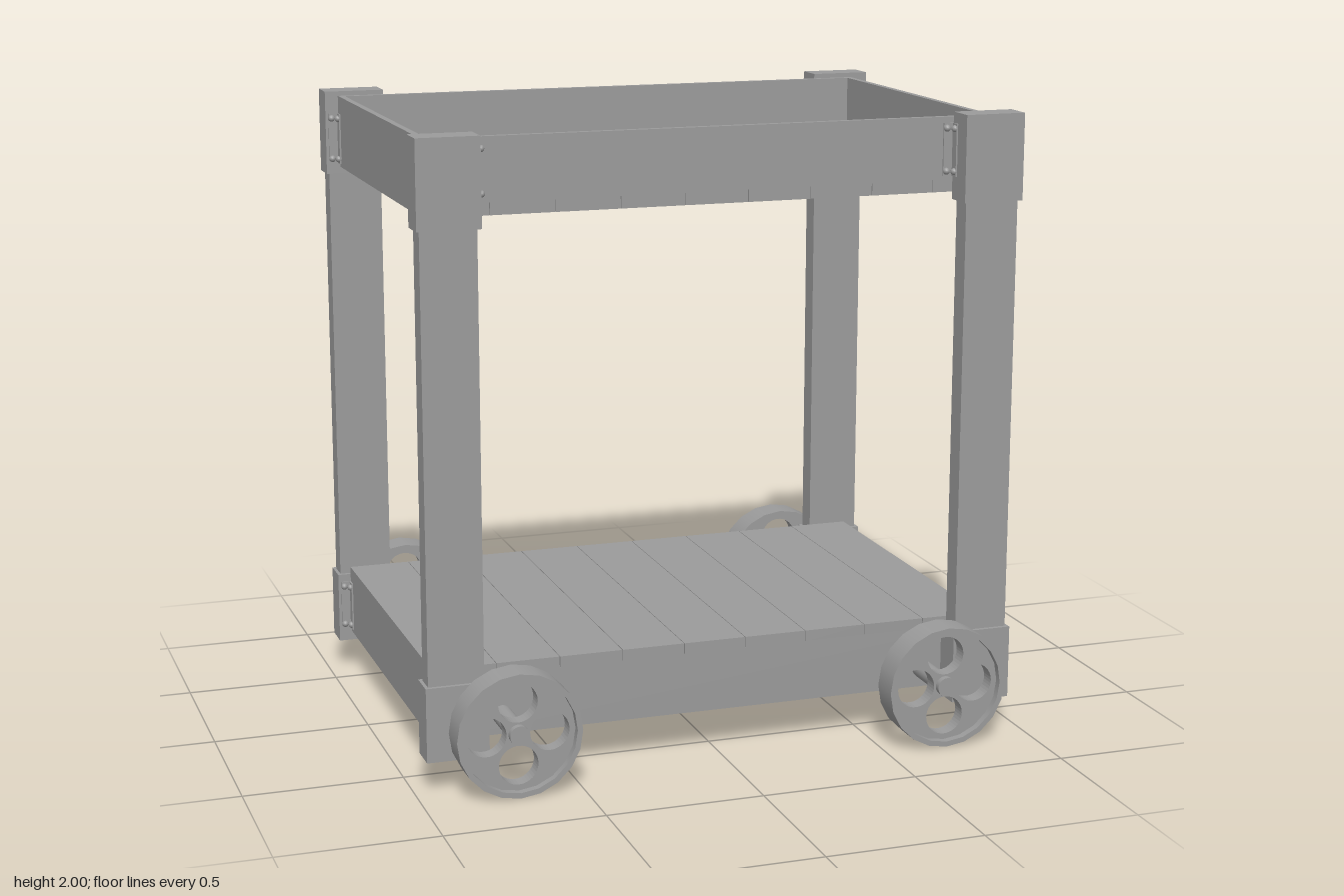
import * as THREE from 'three';

const material = new THREE.MeshStandardMaterial({ color: 0x9b9b9b });

function add(parent, name, geometry, x = 0, y = 0, z = 0) {
  const mesh = new THREE.Mesh(geometry, material);
  mesh.name = name;
  mesh.position.set(x, y, z);
  parent.add(mesh);
  return mesh;
}

// Box given by its minimum and maximum on each axis
function box(parent, name, x0, x1, y0, y1, z0, z1) {
  return add(parent, name, new THREE.BoxGeometry(x1 - x0, y1 - y0, z1 - z0),
    (x0 + x1) / 2, (y0 + y1) / 2, (z0 + z1) / 2);
}

const LEFT = 0.907, RIGHT = -0.923, DEPTH = 0.58, WALL = 0.02;
const POST_IN = 0.77;

// Shelf: four side boards and nine planks, the planks drawn in by inset
function createShelf(name, frameY0, frameY1, plankY0, plankY1, inset) {
  const shelf = new THREE.Group();
  shelf.name = name;
  for (const s of [1, -1]) {
    const z = s * (DEPTH - WALL / 2);
    box(shelf, 'longBoard', RIGHT, LEFT, frameY0, frameY1, z - WALL / 2, z + WALL / 2);
  }
  box(shelf, 'endBoard', LEFT - WALL, LEFT, frameY0, frameY1, -DEPTH + WALL, DEPTH - WALL);
  box(shelf, 'endBoard', RIGHT, RIGHT + WALL, frameY0, frameY1, -DEPTH + WALL, DEPTH - WALL);
  const count = 9, gap = 0.002, pitch = (LEFT - RIGHT) / count;
  for (let i = 0; i < count; i++) {
    const x0 = RIGHT + i * pitch + (i ? gap / 2 : inset);
    const x1 = RIGHT + (i + 1) * pitch - (i < count - 1 ? gap / 2 : inset);
    box(shelf, 'plank', x0, x1, plankY0, plankY1, -DEPTH + inset, DEPTH - inset);
  }
  return shelf;
}

// Post with a sleeve at each end
function createPost(sx, sz) {
  const post = new THREE.Group();
  post.name = 'post';
  const part = (name, w, y0, y1, d) => add(post, name,
    new THREE.BoxGeometry(w, y1 - y0, d), sx * 0.868, (y0 + y1) / 2, sz * 0.629);
  part('postShaft', 0.175, 0.3, 1.76, 0.07);
  part('topSleeve', 0.196, 1.727, 2, 0.097);
  part('bottomSleeve', 0.196, 0.104, 0.34, 0.097);
  return post;
}

// Bolted angle bracket in an inner corner; dx and dz point along its two legs
function createBracket(cx, cz, dx, dz, y) {
  const bracket = new THREE.Group();
  bracket.name = 'angleBracket';
  bracket.position.set(cx, y, cz);
  const long = 0.034, thin = 0.005, height = 0.165;
  const bolt = new THREE.SphereGeometry(0.011, 10, 8);
  for (const [a, b] of [[long, thin], [thin, long]]) {
    add(bracket, 'bracketLeg', new THREE.BoxGeometry(a, height, b), dx * a / 2, 0, dz * b / 2);
    for (const h of [-0.067, 0.067]) {
      add(bracket, 'bolt', bolt,
        dx * (a === long ? 0.024 : 0.006), h, dz * (b === long ? 0.024 : 0.006));
    }
  }
  return bracket;
}

// Wheel with raised rim, four round openings, hub and stub axle; axis along z
function createWheel(sx, sz) {
  const wheel = new THREE.Group();
  wheel.name = 'wheel';
  wheel.position.set(sx * 0.703, 0.197, sz * 0.738);

  const r0 = 0.18, r1 = 0.197, h = 0.05;
  const corners = [[r0, -h], [r1, -h], [r1, h], [r0, h]].map(([r, y]) => new THREE.Vector2(r, y));
  // Separate lathes keep the rim edges sharp
  corners.forEach((corner, i) => {
    const rim = new THREE.LatheGeometry([corner, corners[(i + 1) % 4]], 20);
    rim.rotateX(Math.PI / 2);
    add(wheel, 'rim', rim);
  });

  const web = new THREE.Shape().absarc(0, 0, 0.183, 0, Math.PI * 2);
  for (let i = 0; i < 4; i++) {
    const a = i * Math.PI / 2;
    web.holes.push(new THREE.Path().absarc(0.099 * Math.cos(a), 0.099 * Math.sin(a),
      0.062, 0, Math.PI * 2, true));
  }
  const disc = new THREE.ExtrudeGeometry(web, { depth: 0.05, bevelEnabled: false, curveSegments: 20 });
  disc.translate(0, 0, -0.025);
  add(wheel, 'wheelDisc', disc);

  const axle = new THREE.CylinderGeometry(0.031, 0.031, 0.22, 20).rotateX(Math.PI / 2);
  add(wheel, 'axle', axle, 0, 0, -sz * 0.065);
  return wheel;
}

export function createModel() {
  const cart = new THREE.Group();
  cart.name = 'servingCart';
  cart.add(createShelf('topTray', 1.788, 1.985, 1.75, 1.788, 0.002));
  cart.add(createShelf('bottomShelf', 0.135, 0.33, 0.33, 0.365, 0));

  for (const sx of [1, -1]) {
    for (const sz of [1, -1]) {
      cart.add(createPost(sx, sz));
      cart.add(createWheel(sx, sz));
      const endX = sx > 0 ? LEFT : RIGHT;
      // Brackets on the tray's long boards, then on the end boards of both shelves
      cart.add(createBracket(sx * POST_IN, sz * DEPTH, -sx, sz, 1.883));
      cart.add(createBracket(endX, sz * DEPTH, sx, -sz, 1.845));
      cart.add(createBracket(endX, sz * DEPTH, sx, -sz, 0.232));
    }
  }
  return cart;
}
